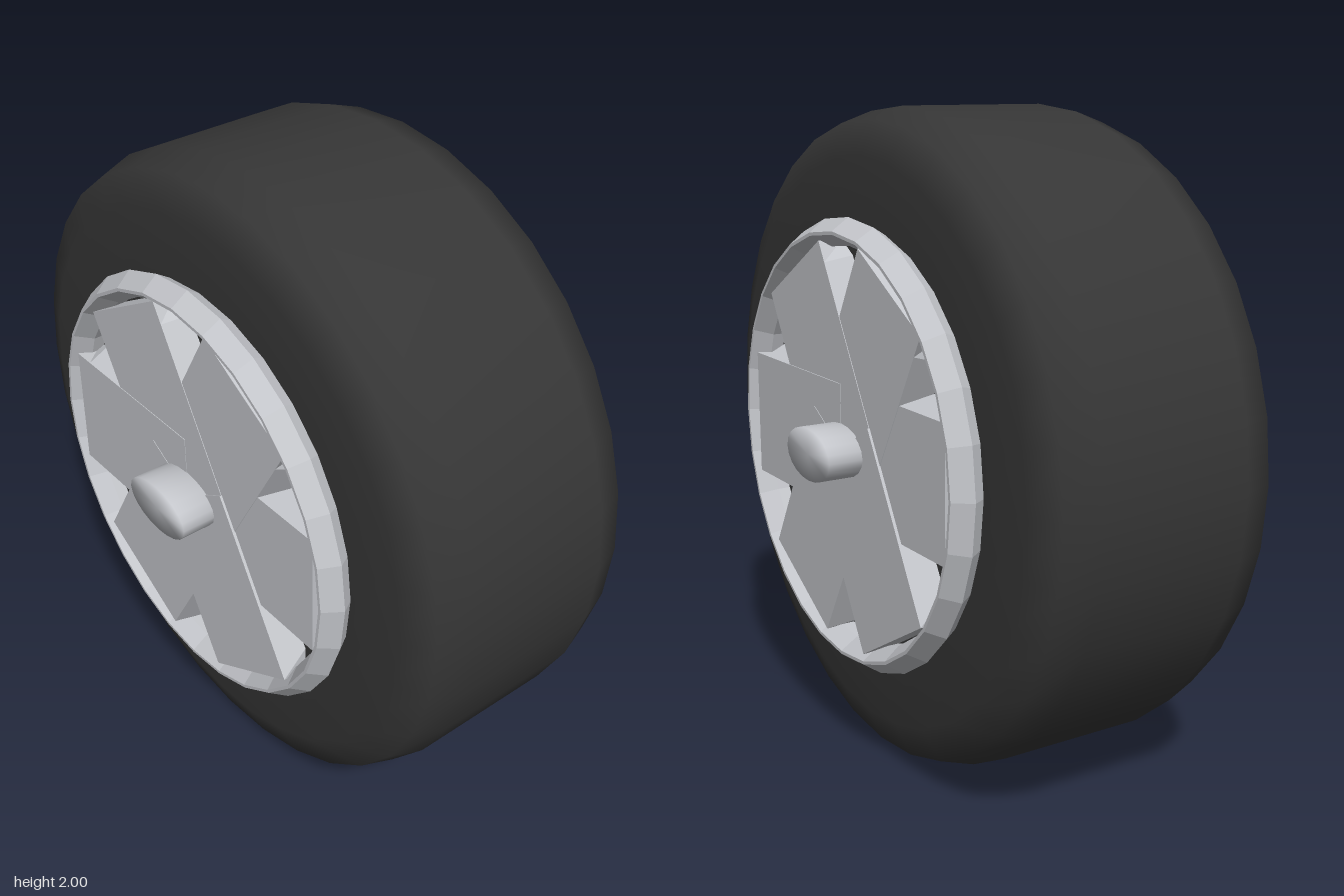
import * as THREE from 'three';
import { mergeVertices } from 'three/addons/utils/BufferGeometryUtils.js';

const rubber = new THREE.MeshStandardMaterial({ color: 0x363636 });
rubber.name = 'dark rubber';
const metal = new THREE.MeshStandardMaterial({ color: 0xc4c6cb });
metal.name = 'light metal';

// Revolve [x, radius] pairs around the x axis
function revolve(profile, segments) {
  const points = profile.map(([x, r]) => new THREE.Vector2(r, x));
  return new THREE.LatheGeometry(points, segments).rotateZ(-Math.PI / 2);
}

function flat(geometry) {
  const g = geometry.toNonIndexed();
  g.computeVertexNormals();
  return g;
}

function smooth(geometry) {
  geometry.deleteAttribute('normal');
  geometry.deleteAttribute('uv');
  const g = mergeVertices(geometry);
  g.computeVertexNormals();
  return g;
}

function part(name, geometry, material) {
  const mesh = new THREE.Mesh(geometry, material);
  mesh.name = name;
  return mesh;
}

// Broad spoke: wide at the back, narrower and flat at the front
function spokeGeometry() {
  const outline = new THREE.Shape([
    [0, -0.24], [0.52, -0.24], [0.59, -0.2], [0.59, 0.2], [0.52, 0.24], [0, 0.24],
  ].map(([x, y]) => new THREE.Vector2(x, y)));
  const g = new THREE.ExtrudeGeometry(outline, { depth: 0.08, bevelEnabled: false });
  const p = g.attributes.position;
  for (let i = 0; i < p.count; i++) {
    if (p.getZ(i) > 0.01) p.setY(i, THREE.MathUtils.clamp(p.getY(i), -0.2, 0.2));
  }
  g.computeVertexNormals();
  return g.rotateY(Math.PI / 2);
}

// One side of the wheel, facing +x
function wheelFace(name) {
  const face = new THREE.Group();
  face.name = name;

  const rim = revolve([
    [0.38, 0.66], [0.425, 0.688], [0.48, 0.65], [0.48, 0.64],
    [0.425, 0.605], [0.38, 0.605], [0.38, 0.66],
  ], 28);
  face.add(part('rim', flat(rim), metal));

  const spoke = spokeGeometry();
  for (let i = 0; i < 6; i++) {
    const mesh = part('spoke', spoke, metal);
    mesh.rotation.x = i * Math.PI / 3;
    mesh.position.x = 0.38 + i * 0.0015; // staggered so the faces overlap cleanly
    face.add(mesh);
  }

  // Oval hub cap
  const hub = new THREE.CylinderGeometry(1, 1, 0.15, 20)
    .rotateZ(-Math.PI / 2).scale(1, 0.08, 0.14).translate(0.5, 0, 0);
  face.add(part('hub', smooth(hub), metal));
  return face;
}

export function createModel() {
  const wheel = new THREE.Group();
  wheel.name = 'wheel';

  const side = [[0.385, 0], [0.385, 0.6], [0.385, 0.86], [0.345, 0.965], [0.24, 1]];
  const mirrored = side.map(([x, r]) => [-x, r]);
  wheel.add(part('tire', revolve([...mirrored, ...side.reverse()], 32), rubber));

  const left = wheelFace('leftFace');
  const right = wheelFace('rightFace');
  right.rotation.y = Math.PI;
  wheel.add(left, right);

  wheel.position.y = 1;
  const model = new THREE.Group();
  model.add(wheel);
  return model;
}
